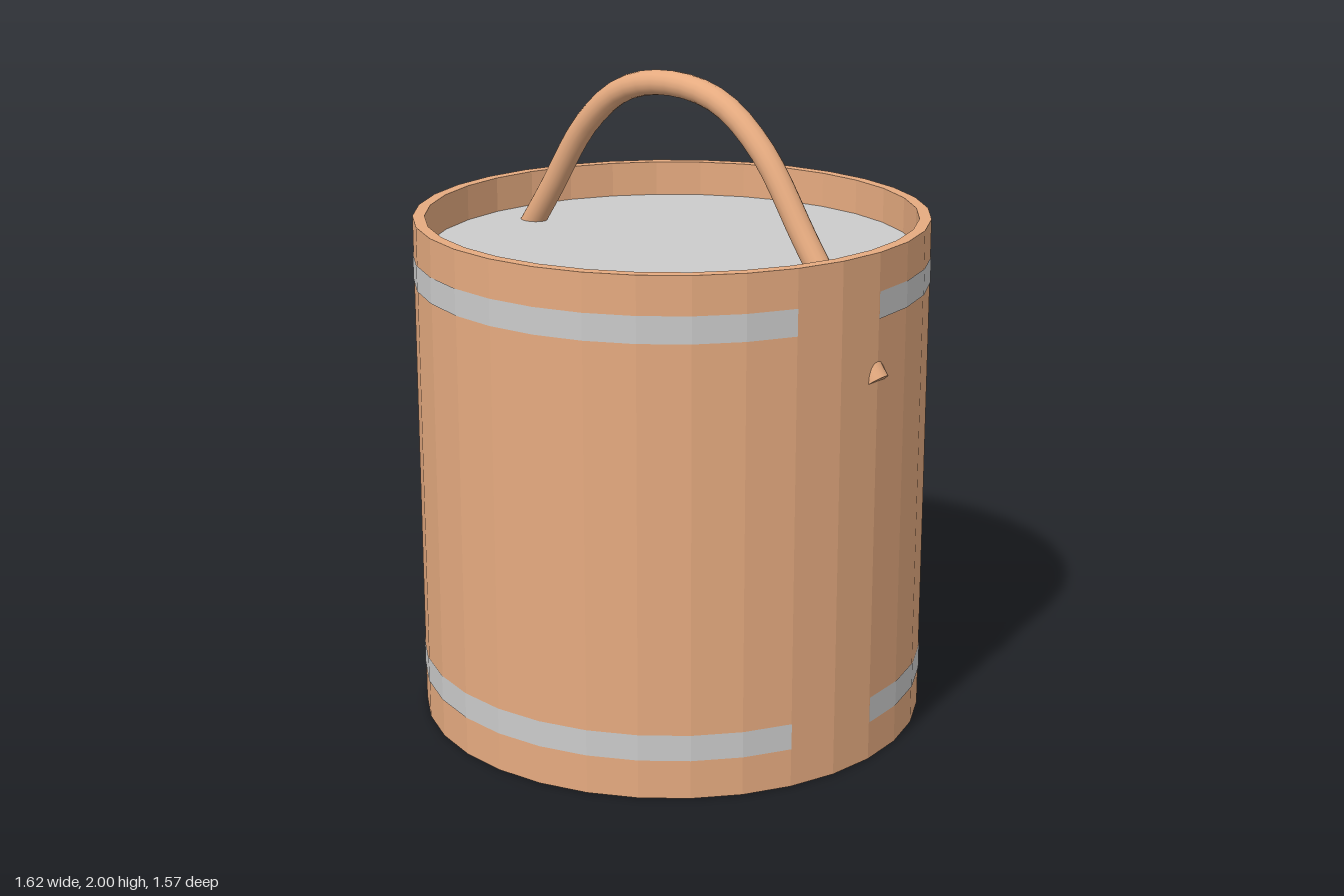
import * as THREE from 'three';

const SIDES = 32;
const STEP = (Math.PI * 2) / SIDES;
const OUTER = 0.783, INNER = 0.747, HEIGHT = 1.57;

const wood = new THREE.MeshStandardMaterial({ color: 0xe6ab80, flatShading: true, side: THREE.DoubleSide });
const smoothWood = new THREE.MeshStandardMaterial({ color: 0xe6ab80 });
const grey = new THREE.MeshStandardMaterial({ color: 0xcccccc, flatShading: true, side: THREE.DoubleSide });

const points = (list) => list.map(([x, y]) => new THREE.Vector2(x, y));

export function createModel() {
  const model = new THREE.Group();
  model.name = 'bucket';

  const add = (name, geometry, material) => {
    const mesh = new THREE.Mesh(geometry, material);
    mesh.name = name;
    model.add(mesh);
    return mesh;
  };

  // Faceted wall: outside, flat rim and inside, open underneath
  const profile = points([[OUTER, 0], [OUTER, HEIGHT], [INNER, HEIGHT], [INNER, 0.03]]);
  add('wall', new THREE.LatheGeometry(profile, SIDES), wood);

  // Recessed floor and the surface of the contents
  add('floor', new THREE.CircleGeometry(INNER, SIDES).rotateX(Math.PI / 2).translate(0, 0.03, 0), wood);
  add('contents', new THREE.CircleGeometry(INNER, SIDES).rotateX(-Math.PI / 2).translate(0, 1.46, 0), grey);

  // Thin metal hoops, open for two facets beside the left handle end
  for (const [name, y0, y1] of [['lowerHoop', 0.12, 0.2], ['upperHoop', 1.375, 1.455]]) {
    const r = OUTER + 0.002;
    const hoop = new THREE.LatheGeometry(points([[r, y0], [r, y1]]), SIDES - 2, Math.PI / 2, Math.PI * 2 - 2 * STEP);
    add(name, hoop, grey);
  }

  // Arched handle whose ends pass through the wall
  const half = [[0.19, 1.925], [0.35, 1.8], [0.51, 1.565], [0.59, 1.45], [0.78, 1.187]];
  const path = [
    ...half.map(([x, y]) => new THREE.Vector3(-x, y, 0)).reverse(),
    new THREE.Vector3(0, 1.962, 0),
    ...half.map(([x, y]) => new THREE.Vector3(x, y, 0)),
  ];
  const curve = new THREE.CatmullRomCurve3(path);
  const radius = 0.038;
  add('handle', new THREE.TubeGeometry(curve, 40, radius, 16), smoothWood);

  // Flat caps on the handle ends
  for (const t of [0, 1]) {
    const cap = add(t ? 'leftHandleEnd' : 'rightHandleEnd', new THREE.CircleGeometry(radius, 16), smoothWood);
    const end = curve.getPointAt(t);
    const outward = curve.getTangentAt(t).multiplyScalar(t ? 1 : -1);
    cap.position.copy(end);
    cap.quaternion.setFromUnitVectors(new THREE.Vector3(0, 0, 1), outward);
  }

  return model;
}
